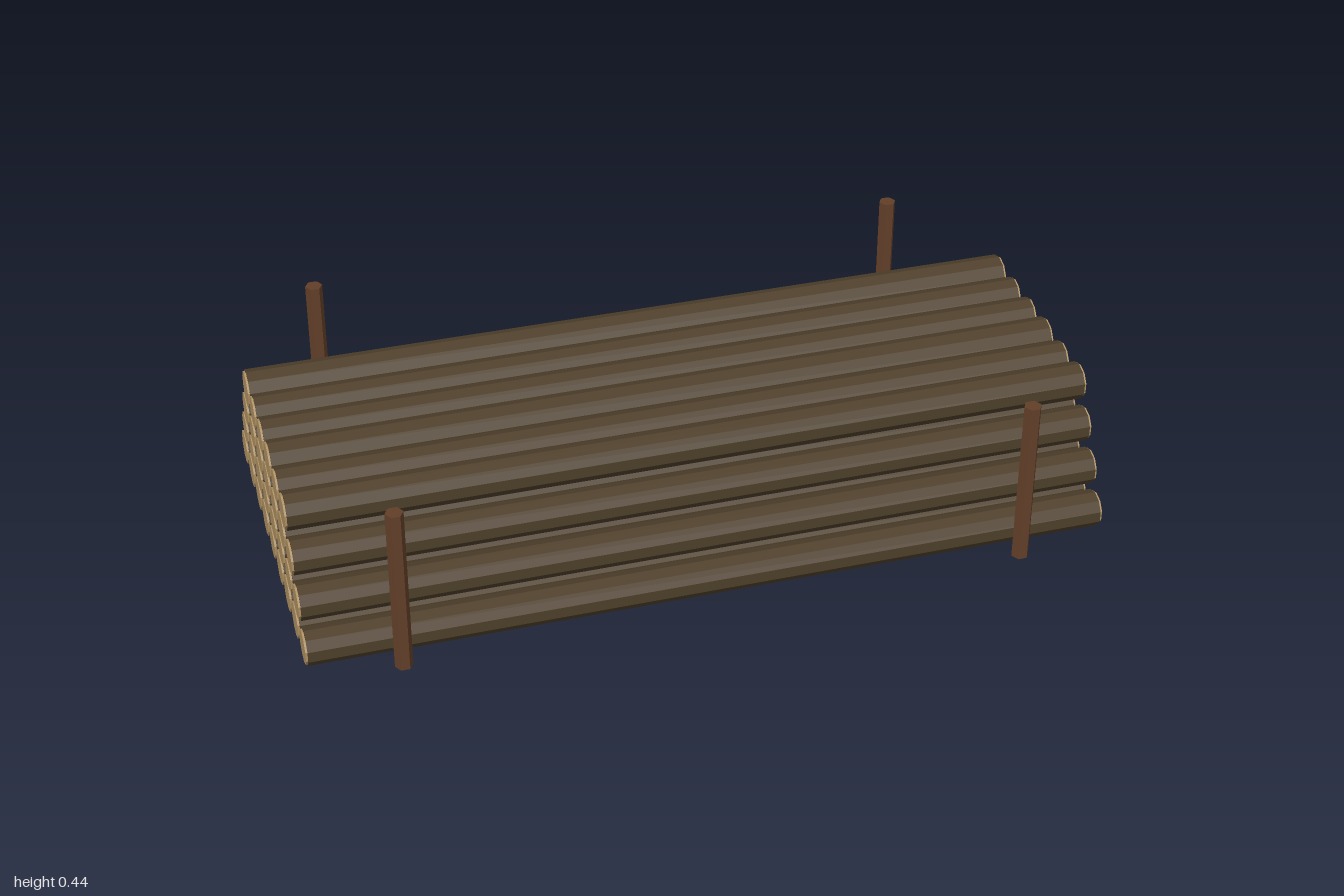
import * as THREE from 'three';

export function createModel() {
  const model = new THREE.Group();
  model.name = 'logPile';

  const material = (name, color, flatShading = true) => {
    const m = new THREE.MeshStandardMaterial({ color, flatShading });
    m.name = name;
    return m;
  };
  const bark = material('bark', 0x4e3f2a);
  const cutWood = material('cutWood', 0xb09264);
  const stakeWood = material('stakeWood', 0x623f28);

  // Ten-sided prism lying along x, with a corner at the top
  const prism = (radius, length) =>
    new THREE.CylinderGeometry(radius, radius, length, 10)
      .rotateY(Math.PI / 2)
      .rotateZ(Math.PI / 2);

  function addLog(name, y, z, radius) {
    const log = new THREE.Group();
    log.name = name;
    const trunk = new THREE.Mesh(prism(radius, 1.99), bark);
    trunk.name = 'trunk';
    log.add(trunk);
    // Pale sawn faces at both ends
    for (const side of [-1, 1]) {
      const face = new THREE.Mesh(prism(radius * 0.93, 0.006), cutWood);
      face.name = side > 0 ? 'leftSawnFace' : 'rightSawnFace';
      face.position.x = side * 0.997;
      log.add(face);
    }
    log.position.set(0, y, z);
    model.add(log);
  }

  // Log radii per layer, from front to back; each layer nests on the one below
  const layers = [
    [0.046, 0.049, 0.049, 0.047, 0.045, 0.05, 0.046, 0.048, 0.047],
    [0.046, 0.044, 0.045, 0.048, 0.045, 0.049, 0.045, 0.046],
    [0.045, 0.051, 0.047, 0.05, 0.049, 0.045, 0.047],
    [0.047, 0.044, 0.05, 0.046, 0.044, 0.05],
  ];
  const spacing = 0.1062;
  layers.forEach((radii, row) => {
    radii.forEach((radius, i) => {
      const z = 0.443 - spacing * (i + row / 2);
      addLog(`log${row + 1}_${i + 1}`, 0.054 + row * 0.0933, z, radius);
    });
  });

  // Four upright hexagonal stakes holding the pile
  const stakeGeometry = new THREE.CylinderGeometry(0.022, 0.022, 0.443, 6).rotateY(Math.PI / 2);
  for (const x of [-0.775, 0.775]) {
    for (const z of [-0.508, 0.508]) {
      const stake = new THREE.Mesh(stakeGeometry, stakeWood);
      stake.name = `${z > 0 ? 'front' : 'back'}${x > 0 ? 'Left' : 'Right'}Stake`;
      stake.position.set(x, 0.2215, z);
      model.add(stake);
    }
  }

  return model;
}
